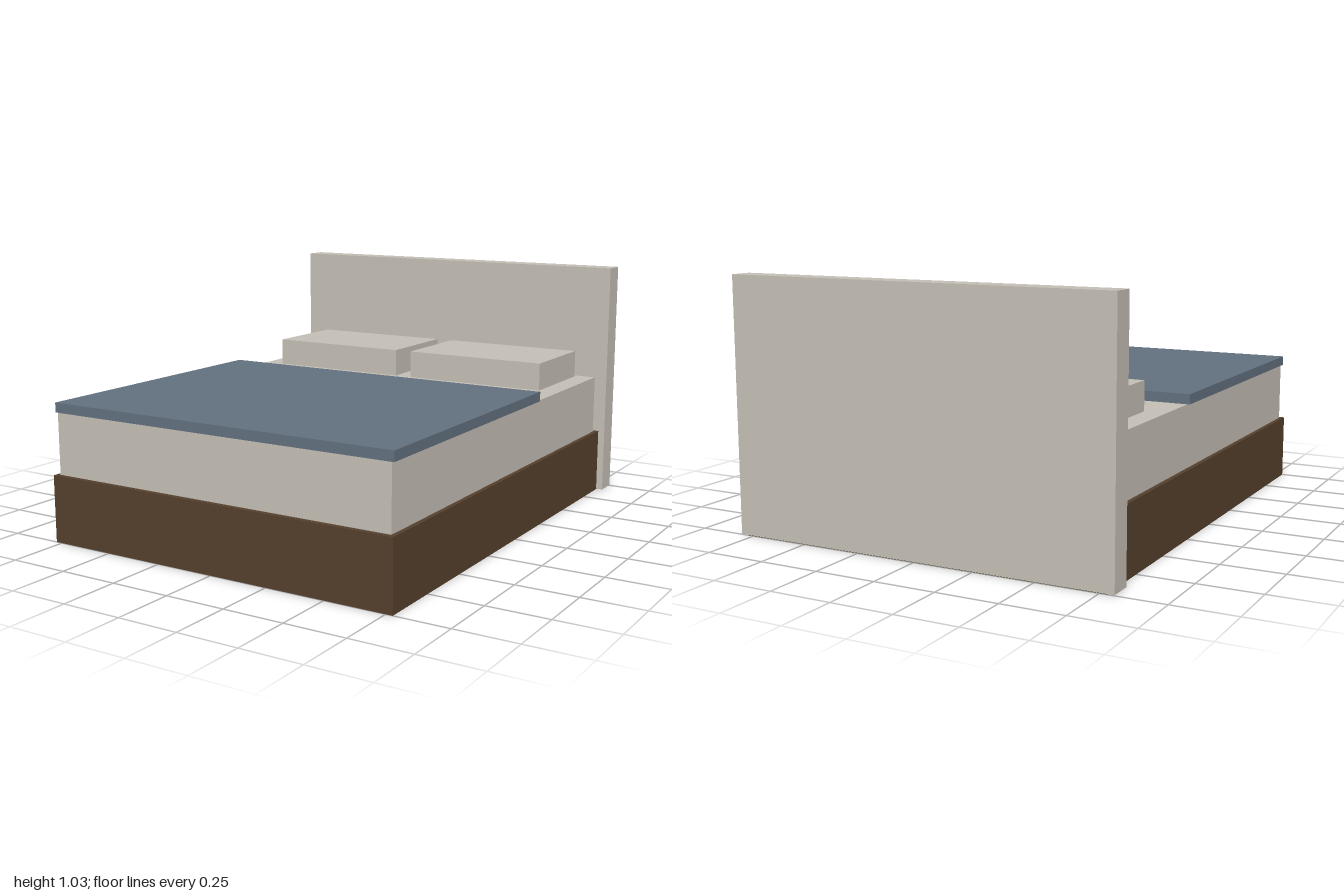
import * as THREE from 'three';

export function createModel() {
  const bed = new THREE.Group();
  bed.name = 'bed';

  const material = (name, color) => {
    const m = new THREE.MeshStandardMaterial({ color });
    m.name = name;
    return m;
  };
  const linen = material('linen', 0xc4beb5);
  const wood = material('dark wood', 0x55402c);
  const blue = material('slate blue', 0x62707e);

  // Box given by its lower and upper limits on each axis
  const addBox = (name, mat, [x0, x1], [y0, y1], [z0, z1]) => {
    const mesh = new THREE.Mesh(new THREE.BoxGeometry(x1 - x0, y1 - y0, z1 - z0), mat);
    mesh.position.set((x0 + x1) / 2, (y0 + y1) / 2, (z0 + z1) / 2);
    mesh.name = name;
    bed.add(mesh);
  };

  // The base runs under the headboard; tiny offsets keep faces from coinciding
  addBox('base', wood, [-0.778, 0.778], [0, 0.277], [-0.998, 1]);
  addBox('headboard', linen, [-0.807, 0.807], [0.002, 1.027], [-1, -0.903]);

  // Bedding
  addBox('mattress', linen, [-0.76, 0.76], [0.277, 0.53], [-0.88, 0.98]);
  addBox('blanket', blue, [-0.77, 0.77], [0.53, 0.57], [-0.23, 0.982]);
  addBox('leftPillow', linen, [0.038, 0.672], [0.53, 0.648], [-0.853, -0.447]);
  addBox('rightPillow', linen, [-0.672, -0.038], [0.53, 0.648], [-0.853, -0.447]);

  return bed;
}
